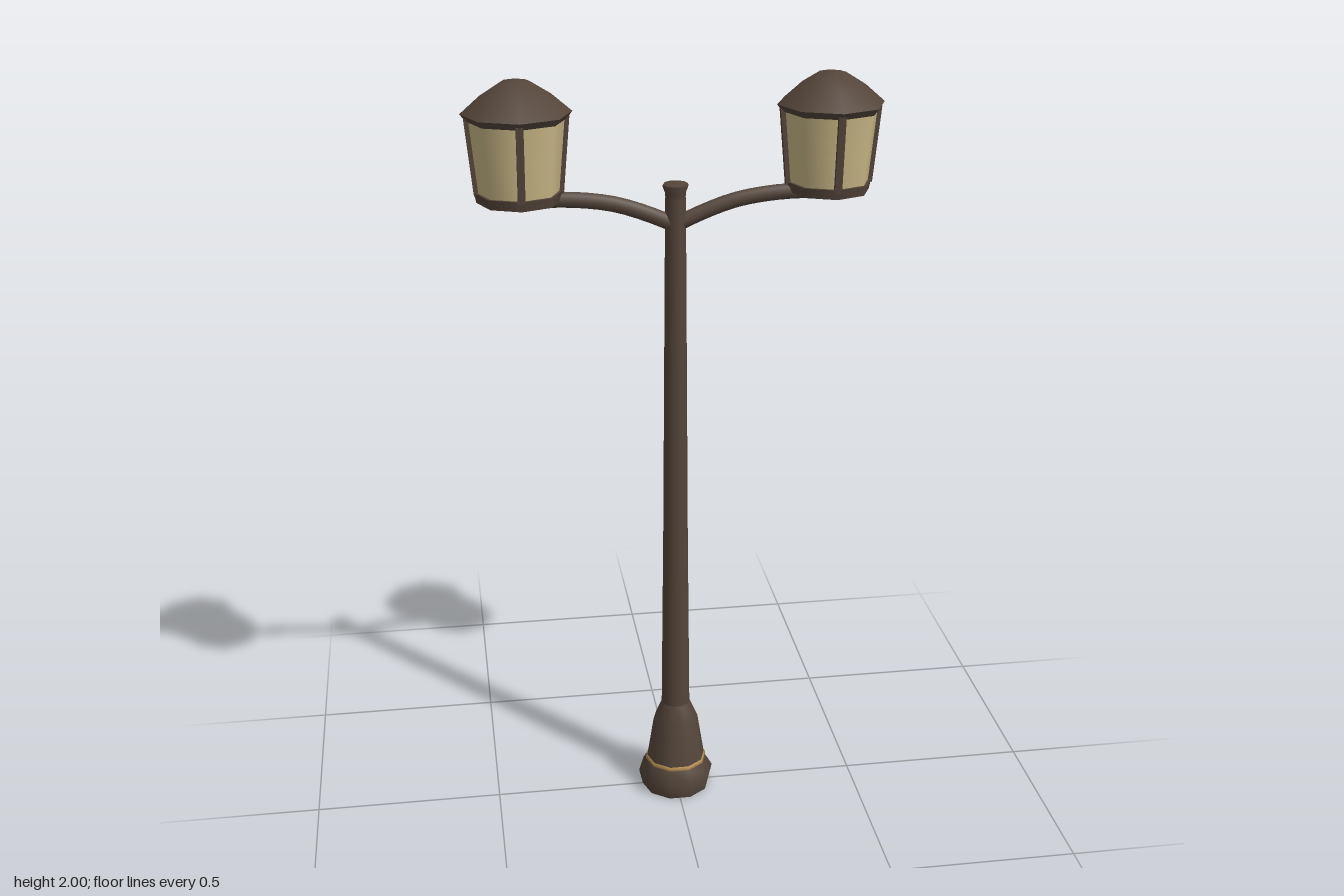
import * as THREE from 'three';

const iron = new THREE.MeshStandardMaterial({ color: 0x54453a });
iron.name = 'dark bronze iron';
const glass = new THREE.MeshStandardMaterial({ color: 0xc8b685 });
glass.name = 'warm glass';
const gold = new THREE.MeshStandardMaterial({ color: 0xb08a50 });
gold.name = 'gold trim';

// Turned part from [radius, height] pairs, listed bottom to top
function turned(name, profile, sides, material, start = 0) {
  const points = profile.map(([r, y]) => new THREE.Vector2(r, y));
  const mesh = new THREE.Mesh(new THREE.LatheGeometry(points, sides, start), material);
  mesh.name = name;
  return mesh;
}

// Octagonal lantern, centred on its own axis
function createLantern() {
  const lantern = new THREE.Group();
  lantern.name = 'lantern';
  lantern.add(turned('lanternFloor', [[0, 1.705], [0.104, 1.705], [0.104, 1.705], [0.109, 1.73], [0.109, 1.73], [0, 1.732]], 8, iron));
  lantern.add(turned('lanternGlass', [[0.102, 1.728], [0.119, 1.91]], 8, glass));
  lantern.add(turned('lanternRoof', [
    [0, 1.905], [0.122, 1.905], [0.122, 1.905], [0.135, 1.922], [0.135, 1.922],
    [0.085, 1.965], [0.035, 1.996], [0, 2.0],
  ], 8, iron));

  // Four leaning glazing bars
  for (let i = 0; i < 4; i++) {
    const holder = new THREE.Group();
    holder.name = 'glazingBarHolder';
    holder.rotation.y = (i * Math.PI) / 2;
    const bar = new THREE.Mesh(new THREE.BoxGeometry(0.018, 0.19, 0.014), iron);
    bar.name = 'glazingBar';
    bar.position.set(0, 1.818, 0.111);
    bar.rotation.x = Math.atan2(0.017, 0.182);
    holder.add(bar);
    lantern.add(holder);
  }
  return lantern;
}

export function createModel() {
  const model = new THREE.Group();
  model.name = 'streetLamp';
  const start = Math.PI / 10;

  // Ten-sided flared foot with a gold ring
  model.add(turned('foot', [
    [0, 0], [0.094, 0], [0.094, 0], [0.104, 0.045], [0.084, 0.08], [0.08, 0.095],
    [0.062, 0.21], [0.039, 0.265],
  ], 10, iron, start));
  model.add(turned('footRing', [[0.082, 0.081], [0.085, 0.083], [0.084, 0.091], [0.08, 0.093]], 10, gold, start));

  // Tapered pole and flared cap
  model.add(turned('pole', [[0.039, 0.26], [0.033, 0.8], [0.029, 1.32], [0.026, 1.7]], 10, iron, start));
  model.add(turned('poleCap', [[0.025, 1.69], [0.026, 1.712], [0.033, 1.73], [0.03, 1.735], [0, 1.738]], 10, iron, start));

  // Mirrored arms, each holding a lantern
  for (const side of [1, -1]) {
    const path = new THREE.CatmullRomCurve3([
      [0, 1.63], [0.06, 1.657], [0.15, 1.688], [0.25, 1.703], [0.385, 1.706],
    ].map(([x, y]) => new THREE.Vector3(side * x, y, 0)));
    const arm = new THREE.Mesh(new THREE.TubeGeometry(path, 12, 0.02, 8), iron);
    arm.name = side > 0 ? 'leftArm' : 'rightArm';
    model.add(arm);

    // Closed end of the arm, under the lantern floor
    const end = new THREE.Mesh(new THREE.CircleGeometry(0.02, 8), iron);
    end.name = 'armEnd';
    end.position.set(side * 0.385, 1.706, 0);
    end.rotation.y = (side * Math.PI) / 2;
    model.add(end);

    const lantern = createLantern();
    lantern.name = side > 0 ? 'leftLantern' : 'rightLantern';
    lantern.position.x = side * 0.385;
    model.add(lantern);
  }
  return model;
}
